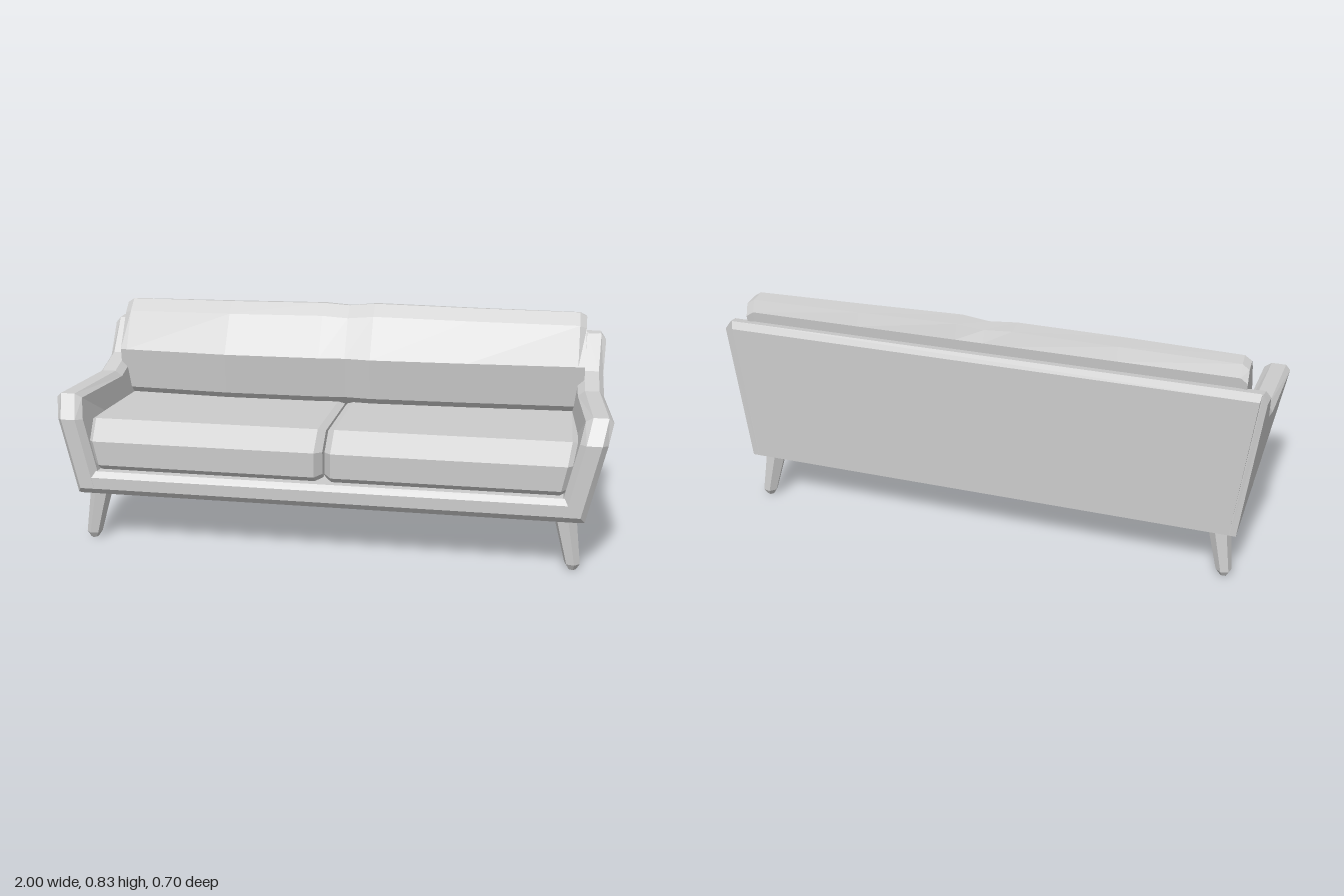
import * as THREE from 'three';

const material = new THREE.MeshStandardMaterial({ color: 0xcccccc, flatShading: true });

// Closed solid from equal-length rings of [x, y, z]; the ends are fans from each ring's first point
function loft(name, rings) {
  const tris = [];
  const n = rings[0].length;
  for (let r = 0; r + 1 < rings.length; r++) {
    const a = rings[r], b = rings[r + 1];
    for (let i = 0; i < n; i++) {
      const j = (i + 1) % n;
      tris.push([a[i], a[j], b[j]], [a[i], b[j], b[i]]);
    }
  }
  const last = rings[rings.length - 1];
  for (let i = 1; i + 1 < n; i++) {
    tris.push([rings[0][0], rings[0][i + 1], rings[0][i]], [last[0], last[i], last[i + 1]]);
  }
  // Turn the faces outward whichever way the rings ran
  let volume = 0;
  for (const [a, b, c] of tris) {
    volume += new THREE.Vector3(...a).dot(new THREE.Vector3(...b).cross(new THREE.Vector3(...c)));
  }
  if (volume < 0) tris.forEach((t) => t.reverse());
  const geometry = new THREE.BufferGeometry();
  geometry.setAttribute('position', new THREE.Float32BufferAttribute(tris.flat(2), 3));
  geometry.computeVertexNormals();
  const mesh = new THREE.Mesh(geometry, material);
  mesh.name = name;
  return mesh;
}

// The side walls lean outward, more at the front than at the back
const flare = (z, y) => (y - 0.19) * (0.11 + 0.12 * Math.min(1, (z + 0.35) / 0.63));

// Place a [z, y] profile at a given x
const at = (profile, x, lean = false) =>
  profile.map(([z, y]) => [x + (lean ? Math.sign(x) * flare(z, y) : 0), y, z]);

// Pull a profile toward a centre, for bevelled ends
const inset = (profile, k, cz, cy) => profile.map(([z, y]) => [cz + (z - cz) * k, cy + (y - cy) * k]);

function arm(side, name) {
  const face = [[-0.35, 0.19], [0.325, 0.19], [0.325, 0.21], [0.325, 0.47], [0.283, 0.54],
    [-0.07, 0.54], [-0.205, 0.59], [-0.3, 0.71], [-0.35, 0.71]];
  const rim = [[-0.35, 0.19], [0.33, 0.19], [0.35, 0.213], [0.35, 0.472], [0.291, 0.556],
    [-0.065, 0.561], [-0.192, 0.608], [-0.3, 0.731], [-0.337, 0.736]];
  return loft(name, [
    at(face, side * 0.92, true), at(rim, side * 0.899, true),
    at(rim, side * 0.846, true), at(face, side * 0.825, true),
  ]);
}

function seatCushion(side, name) {
  const profile = [[0.312, 0.28], [0.333, 0.3], [0.335, 0.39], [0.255, 0.457], [-0.22, 0.457], [-0.22, 0.28]];
  const end = inset(profile, 0.9, 0.03, 0.36);
  const lean = (ring) => ring.map(([x, y, z]) => [x + side * (y - 0.3) * 0.2, y, z]);
  return loft(name, [
    at(end, side * 0.004), at(profile, side * 0.03),
    lean(at(profile, side * 0.835)), lean(at(end, side * 0.862)),
  ]);
}

function backCushion() {
  const profile = [[-0.15, 0.44], [-0.115, 0.48], [-0.1, 0.635], [-0.185, 0.785], [-0.23, 0.828],
    [-0.295, 0.82], [-0.312, 0.77], [-0.28, 0.44]];
  // Each station: x, forward bulge lost, height lost at the top
  const stations = [[-0.88, 0.028, 0.007], [-0.47, 0, 0.004], [-0.1, 0.004, 0], [0, 0.014, 0.007],
    [0.1, 0.002, -0.003], [0.47, 0.012, 0.003], [0.88, 0.028, 0.007]];
  const rings = stations.map(([x, dz, dy]) =>
    at(profile.map(([z, y], i) => [z - (i < 3 ? dz : i < 5 ? dz * 0.4 : 0), y - (y > 0.78 ? dy : 0)]), x));
  const end = inset(profile, 0.88, -0.23, 0.64).map(([z, y]) => [z - 0.015, y]);
  return loft('backCushion', [at(end, -0.905), ...rings, at(end, 0.905)]);
}

// Tapered six-sided leg, splayed outward, with a bevelled foot
function leg(side, topZ, footZ, name) {
  const ring = (x, y, z, r) => Array.from({ length: 6 }, (_, i) => {
    const a = (i + 0.25) * Math.PI / 3;
    return [side * (x + r * Math.cos(a)), y, z + r * Math.sin(a)];
  });
  return loft(name, [
    ring(0.852, 0.2, topZ, 0.042), ring(0.886, 0.022, footZ, 0.028), ring(0.887, 0, footZ, 0.014),
  ]);
}

export function createModel() {
  const sofa = new THREE.Group();
  sofa.name = 'sofa';

  // Frame: base with a bevelled front rail, and the back panel
  const base = [[-0.34, 0.19], [0.33, 0.19], [0.349, 0.213], [0.349, 0.255], [0.33, 0.275], [-0.34, 0.275]];
  sofa.add(loft('base', [at(base, -0.87), at(base, 0.87)]));
  const back = [[-0.35, 0.19], [-0.35, 0.71], [-0.337, 0.736], [-0.305, 0.732], [-0.285, 0.71], [-0.285, 0.19]];
  sofa.add(loft('backPanel', [at(back, -0.895, true), at(back, 0.895, true)]));

  sofa.add(backCushion());

  // Paired parts
  for (const [side, label] of [[1, 'left'], [-1, 'right']]) {
    sofa.add(arm(side, label + 'Arm'));
    sofa.add(seatCushion(side, label + 'SeatCushion'));
    sofa.add(leg(side, 0.264, 0.279, label + 'FrontLeg'));
    sofa.add(leg(side, -0.283, -0.308, label + 'BackLeg'));
  }
  return sofa;
}
